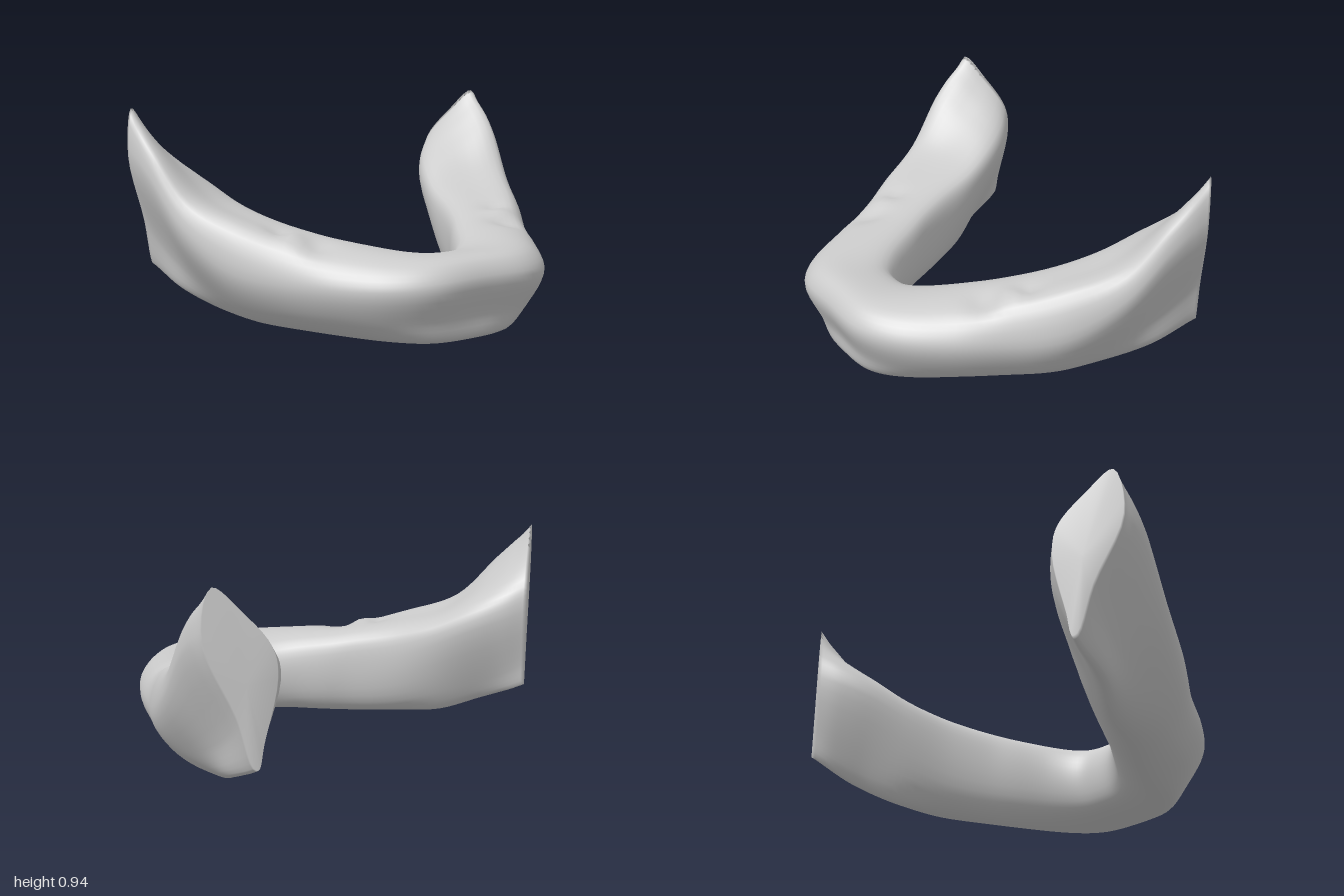
import * as THREE from 'three';

// Plan of the arch, one row per station from just across the middle to the rear end:
// inner x, inner z, outer x, outer z
const PLAN_T = [-1, 0, 1, 2, 3, 4, 5, 6, 7, 8, 9];
const PLAN = [
  -0.1, 0.305, -0.24, 0.69,
  0, 0.32, 0, 0.70,
  0.1, 0.305, 0.24, 0.69,
  0.2, 0.225, 0.42, 0.59,
  0.3, 0.09, 0.575, 0.40,
  0.375, -0.02, 0.695, 0.19,
  0.45, -0.17, 0.82, 0,
  0.52, -0.35, 0.92, -0.21,
  0.60, -0.52, 0.985, -0.38,
  0.68, -0.63, 1.02, -0.47,
  0.765, -0.705, 1.035, -0.52,
];

// Cross-sections: nine pairs of (0 inner .. 1 outer, height), running
// outer bottom, up the outside, over the ridge, down the inside
const SECTION_T = [0, 3, 5, 6, 7, 9];
const SECTIONS = [
  0.78, 0.015, 0.84, 0.11, 1, 0.27, 0.87, 0.355, 0.5, 0.365, 0.12, 0.32, 0, 0.2, 0.1, 0.05, 0.45, 0.005,
  0.58, 0.025, 0.85, 0.11, 1, 0.25, 0.84, 0.36, 0.5, 0.405, 0.08, 0.38, 0, 0.26, 0.1, 0.07, 0.34, 0.005,
  0.52, 0.04, 0.77, 0.12, 1, 0.29, 0.87, 0.475, 0.5, 0.48, 0.07, 0.445, 0, 0.32, 0.12, 0.1, 0.34, 0.03,
  0.5, 0.08, 0.7, 0.19, 1, 0.43, 0.9, 0.57, 0.5, 0.55, 0.05, 0.5, 0, 0.4, 0.17, 0.16, 0.36, 0.06,
  0.52, 0.145, 0.62, 0.28, 0.98, 0.63, 0.9, 0.77, 0.5, 0.69, 0.05, 0.59, 0, 0.49, 0.27, 0.22, 0.43, 0.13,
  0.29, 0.235, 0.48, 0.44, 0.86, 0.74, 0.75, 0.945, 0.41, 0.85, 0.06, 0.71, 0, 0.59, 0.16, 0.33, 0.23, 0.225,
];

// Small hollows and swellings on the top: x, z, radius, height
const BUMPS = [
  [0.52, 0.22, 0.07, -0.025],
  [0.57, 0.13, 0.06, 0.015],
  [0.6, 0.05, 0.05, -0.018],
];

const STEPS = 6; // rings per station
const SIDES = 45; // points per ring

function makeArchGeometry() {
  const plan = new THREE.CubicInterpolant(PLAN_T, PLAN, 4, new Float32Array(4));
  const section = new THREE.CubicInterpolant(SECTION_T, SECTIONS, 18, new Float32Array(18));
  section.settings = { endingStart: THREE.ZeroSlopeEnding, endingEnd: THREE.ZeroCurvatureEnding };

  // One smooth closed ring at station t; negative t is the mirrored side
  function ring(t) {
    const side = t < 0 ? -1 : 1;
    const [ix, iz, ox, oz] = plan.evaluate(Math.abs(t));
    const s = section.evaluate(Math.abs(t));
    const corners = [];
    for (let i = 0; i < 18; i += 2) {
      corners.push(new THREE.Vector3(ix + (ox - ix) * s[i], s[i + 1], iz + (oz - iz) * s[i]));
    }
    const curve = new THREE.CatmullRomCurve3(corners, true, 'centripetal');
    const points = [];
    for (let i = 0; i < SIDES; i++) {
      const p = curve.getPoint(i / SIDES);
      const upper = THREE.MathUtils.smoothstep(p.y, 0.28, 0.4);
      for (const [x, z, r, h] of BUMPS) {
        p.y += upper * h * Math.exp(-((p.x - x) ** 2 + (p.z - z) ** 2) / (r * r));
      }
      p.y = Math.max(p.y, 0);
      p.x *= side;
      points.push(p);
    }
    return points;
  }

  const position = [];
  const index = [];
  const add = (p) => position.push(p.x, p.y, p.z) / 3 - 1;

  // Skin
  const half = 9 * STEPS;
  const rings = [];
  for (let k = -half; k <= half; k++) rings.push(ring(k / STEPS));
  rings.forEach((points) => points.forEach(add));
  for (let k = 0; k < rings.length - 1; k++) {
    for (let i = 0; i < SIDES; i++) {
      const j = (i + 1) % SIDES;
      const a = k * SIDES + i, b = a + SIDES;
      const c = k * SIDES + j, d = c + SIDES;
      index.push(a, b, c, b, d, c);
    }
  }

  // Rear end faces share the rim with the skin, so they blend softly into it
  for (const k of [0, rings.length - 1]) {
    const middle = new THREE.Vector3();
    rings[k].forEach((p) => middle.addScaledVector(p, 1 / SIDES));
    const m = add(middle);
    for (let i = 0; i < SIDES; i++) {
      const a = k * SIDES + i, b = k * SIDES + ((i + 1) % SIDES);
      if (k > 0) index.push(m, b, a);
      else index.push(m, a, b);
    }
  }

  const geometry = new THREE.BufferGeometry();
  geometry.setAttribute('position', new THREE.Float32BufferAttribute(position, 3));
  geometry.setIndex(index);
  geometry.computeVertexNormals();
  return geometry;
}

export function createModel() {
  const group = new THREE.Group();
  group.name = 'lowerJaw';
  const arch = new THREE.Mesh(makeArchGeometry(), new THREE.MeshStandardMaterial({ color: 0xcccccc }));
  arch.name = 'gumArch';
  group.add(arch);
  return group;
}
